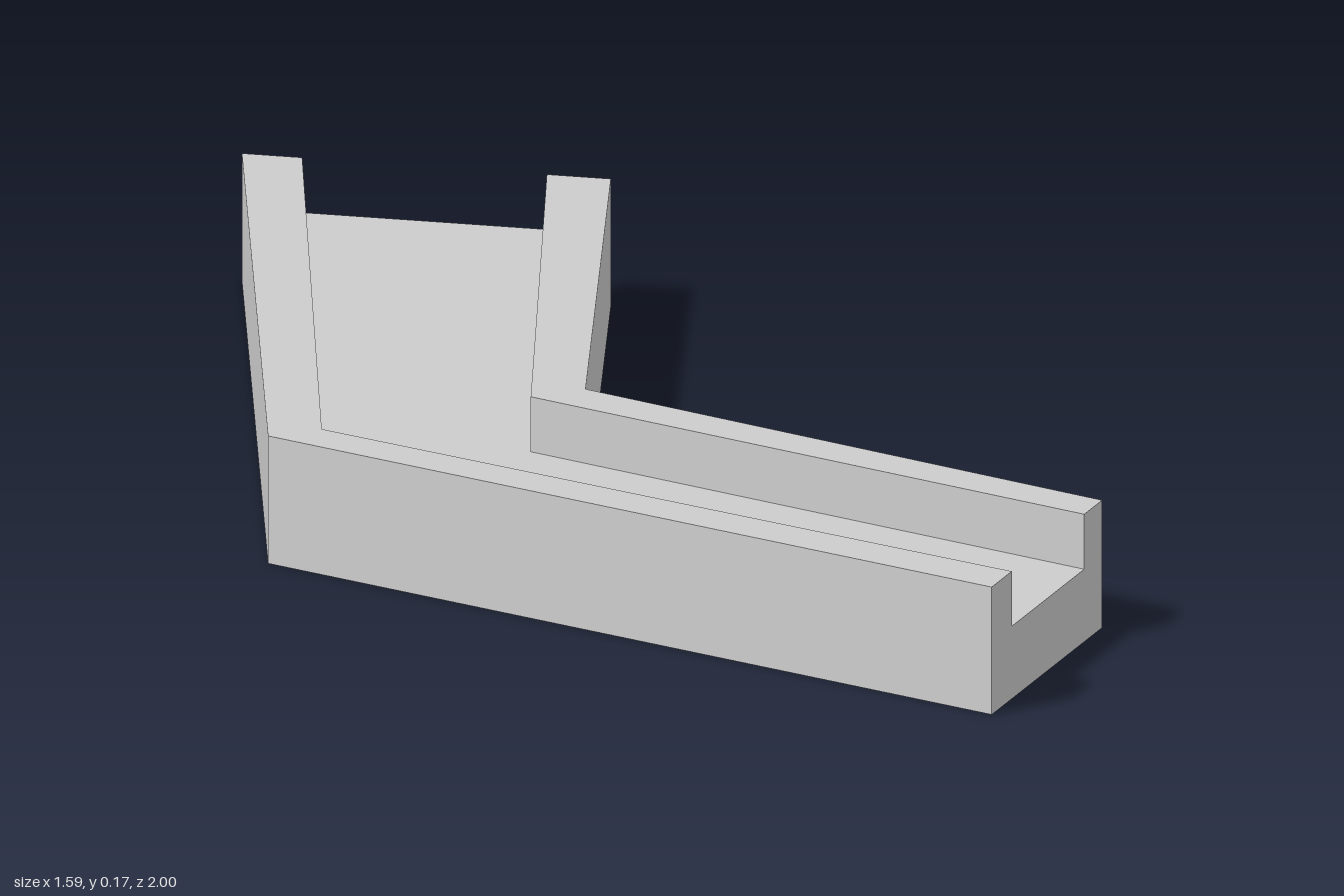
import * as THREE from 'three';

// Plan lines of the bent channel: [x, z] at the back end, the bend and the front end
const rails = {
  outerEdge: [[-0.795, -1], [-0.325, 0.47], [0.793, 1]],
  outerLip: [[-0.715, -1], [-0.27, 0.415], [0.793, 0.91]],
  innerLip: [[-0.39, -1], [-0.065, 0.17], [0.793, 0.585]],
  innerEdge: [[-0.305, -1], [-0.01, 0.11], [0.793, 0.505]],
};
const FLOOR = 0.095, TOP = 0.167;

// U-shaped cross-section, each corner riding on one plan line
const section = [
  ['outerEdge', 0], ['outerEdge', TOP], ['outerLip', TOP], ['outerLip', FLOOR],
  ['innerLip', FLOOR], ['innerLip', TOP], ['innerEdge', TOP], ['innerEdge', 0],
];

function channelGeometry() {
  const positions = [];
  const n = section.length;
  const point = (station, i) => {
    const [rail, y] = section[i % n];
    const [x, z] = rails[rail][station];
    return [x, y, z];
  };
  const quad = (a, b, c, d) => positions.push(...a, ...b, ...c, ...a, ...c, ...d);

  // Sides of both straight runs
  for (let s = 0; s < 2; s++) {
    for (let i = 0; i < n; i++) {
      quad(point(s, i), point(s + 1, i), point(s + 1, i + 1), point(s, i + 1));
    }
  }
  // End caps: two walls and the floor between them
  for (const corners of [[0, 1, 2, 3], [0, 3, 4, 7], [4, 5, 6, 7]]) {
    quad(...corners.map((i) => point(0, i)));
    quad(...corners.map((i) => point(2, i)).reverse());
  }

  const geometry = new THREE.BufferGeometry();
  geometry.setAttribute('position', new THREE.Float32BufferAttribute(positions, 3));
  geometry.computeVertexNormals();
  return geometry;
}

export function createModel() {
  const group = new THREE.Group();
  group.name = 'bentChannel';
  const material = new THREE.MeshStandardMaterial({ color: 0xcccccc, flatShading: true });
  const channel = new THREE.Mesh(channelGeometry(), material);
  channel.name = 'channel';
  group.add(channel);
  return group;
}
